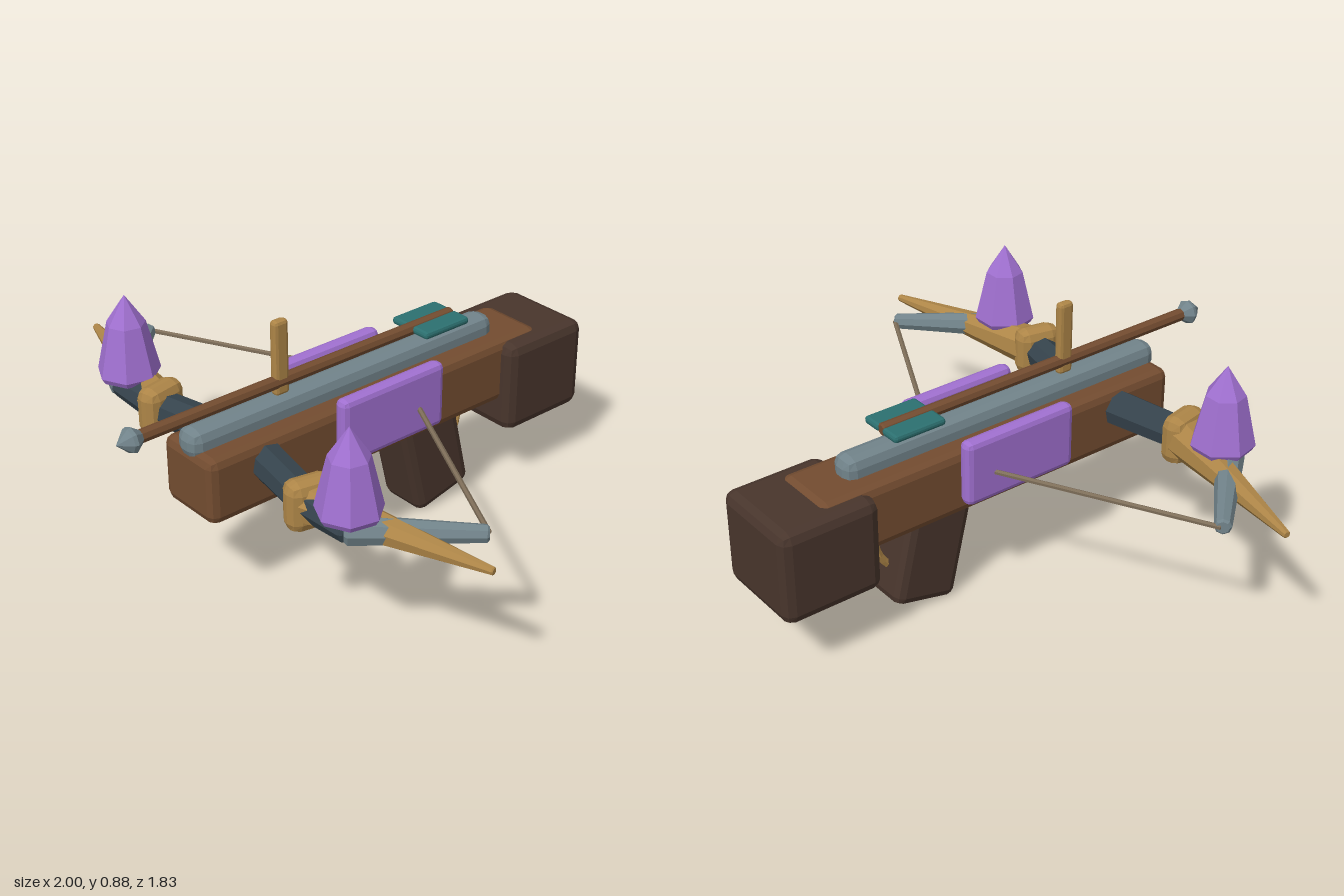
import * as THREE from 'three';
import { RoundedBoxGeometry } from 'three/addons/geometries/RoundedBoxGeometry.js';

const paint = (color) => new THREE.MeshStandardMaterial({ color, flatShading: true });
const wood = paint(0x734c30), darkWood = paint(0x48352c), gold = paint(0xad8547), steel = paint(0x71838a);
const iron = paint(0x35434c), violet = paint(0xa070d0), teal = paint(0x2c7070), cord = paint(0x7d6d58);

export function createModel() {
  const model = new THREE.Group();

  const add = (name, geometry, material) => {
    const mesh = new THREE.Mesh(geometry, material);
    mesh.name = name;
    model.add(mesh);
    return mesh;
  };

  // Chamfered box given by its size and centre
  const block = (name, material, size, centre, bevel) => {
    const mesh = add(name, new RoundedBoxGeometry(...size, 1, bevel), material);
    mesh.position.set(...centre);
    return mesh;
  };

  // Tapered rod between two points, with slightly chamfered ends
  const rod = (name, material, from, to, r0, r1, sides = 8) => {
    const a = new THREE.Vector3(...from), dir = new THREE.Vector3(...to).sub(a);
    const len = dir.length(), c0 = r0 * 0.25, c1 = r1 * 0.25;
    const profile = [[0, 0], [r0 - c0, 0], [r0, c0], [r1, len - c1], [r1 - c1, len], [0, len]];
    const geometry = new THREE.LatheGeometry(profile.map((p) => new THREE.Vector2(...p)), sides);
    const mesh = add(name, geometry, material);
    mesh.position.copy(a);
    mesh.quaternion.setFromUnitVectors(new THREE.Vector3(0, 1, 0), dir.normalize());
    return mesh;
  };

  // Body
  block('stock', wood, [0.25, 0.23, 1.41], [0, 0.455, -0.035], 0.03);
  block('butt', darkWood, [0.35, 0.33, 0.355], [0, 0.395, -0.737], 0.035);
  block('grip', darkWood, [0.19, 0.45, 0.24], [0, 0.247, -0.295], 0.03).rotation.x = 0.23;
  block('rail', steel, [0.1, 0.1, 1.27], [0, 0.585, 0.04], 0.035);
  block('sightPost', gold, [0.034, 0.26, 0.055], [0, 0.76, 0.3], 0.012);

  // Trigger
  const triggerPath = new THREE.CatmullRomCurve3([
    [0, 0.37, -0.45], [0, 0.33, -0.462], [0, 0.265, -0.477], [0, 0.21, -0.46], [0, 0.17, -0.43],
  ].map((p) => new THREE.Vector3(...p)));
  add('trigger', new THREE.TubeGeometry(triggerPath, 8, 0.015, 6), gold);

  // Bolt
  rod('boltShaft', wood, [0, 0.676, -0.435], [0, 0.676, 0.85], 0.022, 0.022);
  const tip = [[0, 0], [0.022, 0], [0.043, 0.03], [0.04, 0.042], [0, 0.085]];
  const boltTip = add('boltTip', new THREE.LatheGeometry(tip.map((p) => new THREE.Vector2(...p)), 8), steel);
  boltTip.rotation.x = Math.PI / 2;
  boltTip.position.set(0, 0.676, 0.83);

  // Parts repeated on both sides
  const crystalProfile = [[0, 0], [0.095, 0], [0.107, 0.02], [0.066, 0.195], [0, 0.295]]
    .map((p) => new THREE.Vector2(...p));
  for (const s of [1, -1]) {
    const side = s > 0 ? 'left' : 'right';
    block(side + 'Fletching', teal, [0.075, 0.026, 0.195], [s * 0.0475, 0.677, -0.343], 0.01);
    block(side + 'Plate', violet, [0.054, 0.23, 0.43], [s * 0.16, 0.515, -0.022], 0.02);

    // Bow limb
    rod(side + 'InnerLimb', iron, [s * 0.05, 0.493, 0.433], [s * 0.4, 0.493, 0.502], 0.064, 0.058);
    rod(side + 'OuterLimb', iron, [s * 0.38, 0.497, 0.5], [s * 0.59, 0.5, 0.515], 0.058, 0.042);
    rod(side + 'Horn', gold, [s * 0.37, 0.495, 0.497], [s * 1.0, 0.497, 0.34], 0.075, 0.013);
    rod(side + 'StringArm', steel, [s * 0.57, 0.5, 0.525], [s * 0.855, 0.497, 0.215], 0.048, 0.028);
    block(side + 'Collar', gold, [0.088, 0.17, 0.16], [s * 0.38, 0.495, 0.498], 0.035).rotation.y = -s * 0.2;

    // Crystal and bowstring
    const crystal = add(side + 'Crystal', new THREE.LatheGeometry(crystalProfile, 7), violet);
    crystal.position.set(s * 0.56, 0.535, 0.495);
    rod(side + 'String', cord, [s * 0.17, 0.495, -0.135], [s * 0.85, 0.497, 0.213], 0.009, 0.009, 6);
  }
  return model;
}
